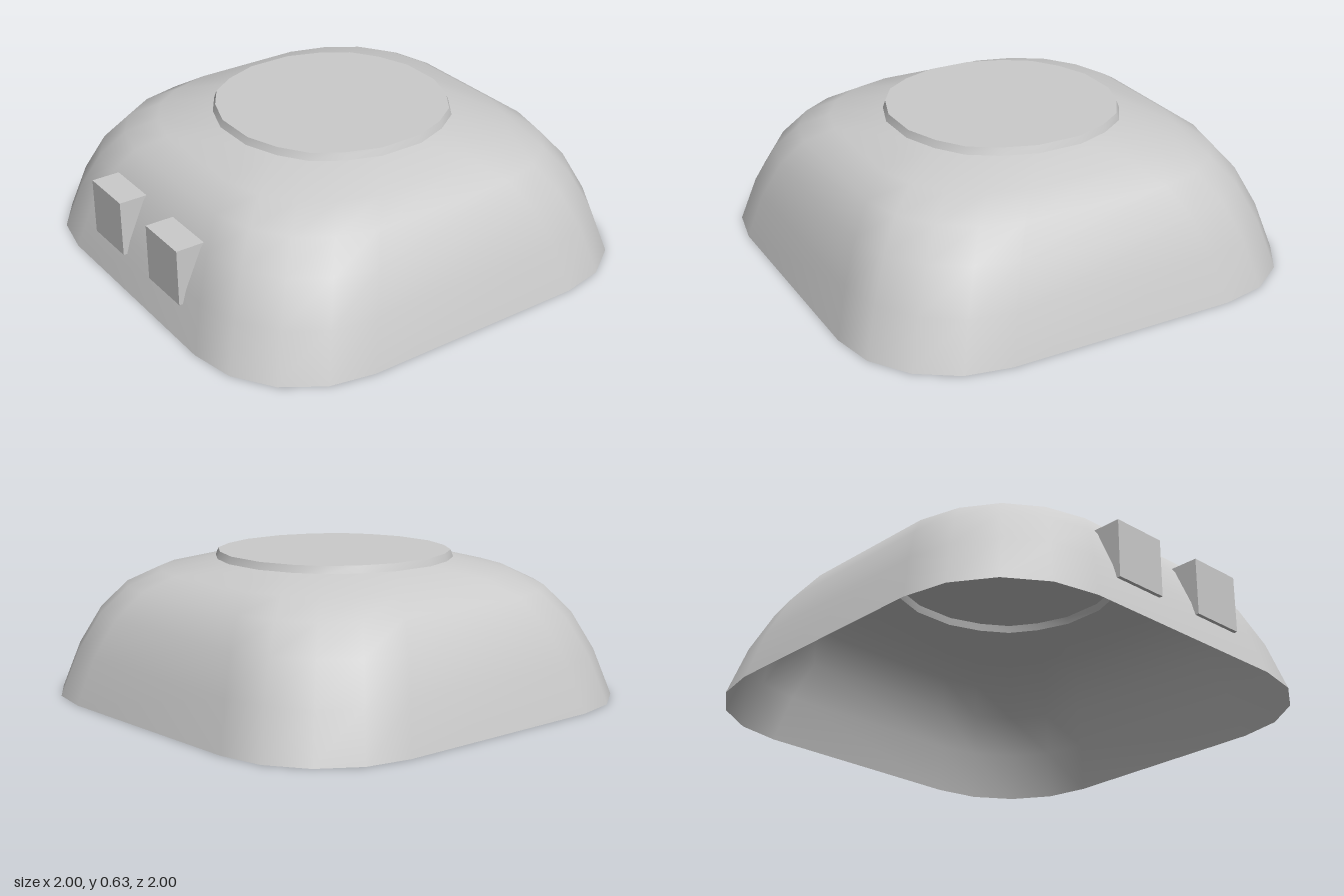
import * as THREE from 'three';

const material = new THREE.MeshStandardMaterial({ color: 0xcccccc, side: THREE.DoubleSide });

// Repeat five corner points in all four quadrants, giving a closed 20-point ring of [x, z].
function fourCorners(corner) {
  const ring = [];
  for (let q = 0; q < 4; q++) {
    const c = [1, 0, -1, 0][q], s = [0, 1, 0, -1][q];
    for (const [x, z] of corner) ring.push([x * c - z * s, x * s + z * c]);
  }
  return ring;
}

// Skin a stack of rings, each { y, points }, bottom to top.
function loft(rings) {
  const n = rings[0].points.length;
  const positions = [], index = [];
  for (const { y, points } of rings) for (const [x, z] of points) positions.push(x, y, z);
  for (let i = 0; i < rings.length - 1; i++) {
    for (let j = 0; j < n; j++) {
      const a = i * n + j, b = i * n + (j + 1) % n;
      index.push(a, a + n, b, b, a + n, b + n);
    }
  }
  const geometry = new THREE.BufferGeometry();
  geometry.setAttribute('position', new THREE.Float32BufferAttribute(positions, 3));
  geometry.setIndex(index);
  geometry.computeVertexNormals();
  return geometry;
}

export function createModel() {
  const group = new THREE.Group();
  const add = (name, geometry) => {
    const mesh = new THREE.Mesh(geometry, material);
    mesh.name = name;
    group.add(mesh);
    return mesh;
  };

  // Outlines: rounded square at the foot, nearly a circle at the top
  const base = fourCorners([0, 1, 2, 3, 4].map((i) => {
    const a = i * Math.PI / 8;
    return [0.5 + 0.5 * Math.cos(a), 0.5 + 0.5 * Math.sin(a)];
  }));
  const rim = fourCorners([[0.495, 0.098], [0.442, 0.247], [0.364, 0.364], [0.247, 0.442], [0.098, 0.495]]);
  const scaled = (s) => rim.map(([x, z]) => [x * s, z * s]);

  // Open-bottomed domed shell, blending from one outline to the other
  const profile = [[1, 0], [0.941, 0.2], [0.868, 0.363], [0.781, 0.478], [0.672, 0.547], [0.495, 0.597]];
  add('shell', loft(profile.map(([w, y]) => {
    const t = (1 - w) / 0.505;
    return { y, points: base.map(([x, z], i) => [x + (rim[i][0] - x) * t, z + (rim[i][1] - z) * t]) };
  })));

  // Shallow raised cap
  add('capWall', loft([{ y: 0.597, points: rim }, { y: 0.628, points: scaled(0.978) }]));
  add('capLid', loft([{ y: 0.628, points: scaled(0.978) }, { y: 0.628, points: scaled(0) }]));

  // Two wedge blocks on the front, backs sloped along the shell
  const side = new THREE.Shape([[0.975, 0.14], [0.975, 0.384], [0.842, 0.384], [0.948, 0.14]]
    .map(([z, y]) => new THREE.Vector2(z, y)));
  for (const [name, x] of [['leftBlock', 0.229], ['rightBlock', -0.229]]) {
    const block = new THREE.ExtrudeGeometry(side, { depth: 0.242, bevelEnabled: false });
    block.translate(0, 0, -0.121).rotateY(-Math.PI / 2);
    add(name, block).position.x = x;
  }

  return group;
}
